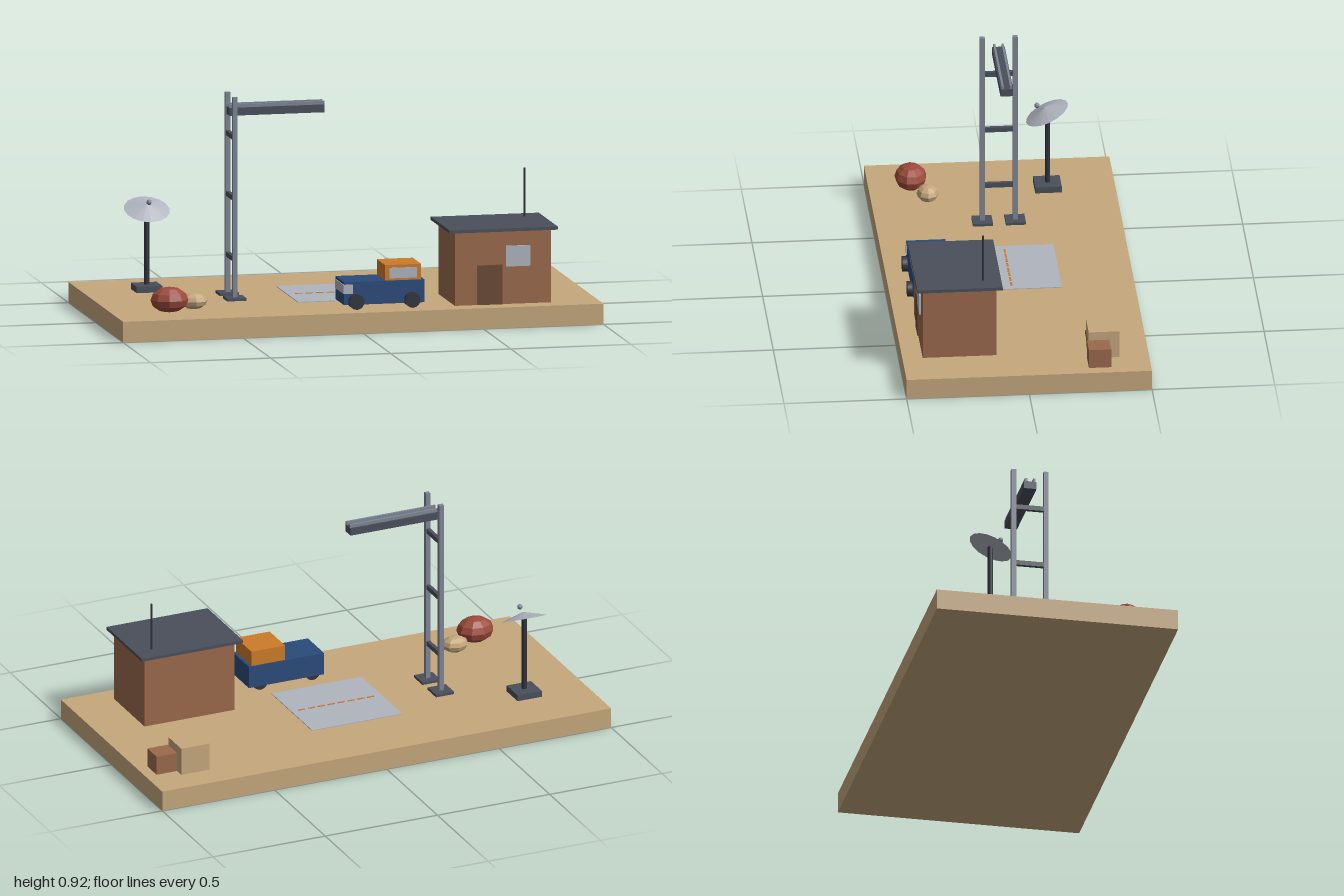
import * as THREE from 'three';

const mat = (name, color, extra = {}) => {
  const m = new THREE.MeshStandardMaterial({ color, ...extra });
  m.name = name;
  return m;
};

export function createModel() {
  const sand = mat('sand', 0xc4a77c);
  const brick = mat('brick brown', 0x9a694c);
  const slate = mat('dark slate', 0x4a4f5b);
  const pale = mat('pale grey', 0xafb4be);
  const steel = mat('steel grey', 0x7f8694);
  const blue = mat('truck blue', 0x2a4a7a);
  const orange = mat('cargo orange', 0xcc7b29);
  const red = mat('rust red', 0x9c4a3b, { flatShading: true });
  const black = mat('charcoal', 0x31343d);
  const wood = mat('dark wood', 0x684832);
  const sandFlat = sand;

  const model = new THREE.Group();
  model.name = 'outpost';
  const group = (name) => {
    const g = new THREE.Group();
    g.name = name;
    model.add(g);
    return g;
  };
  const add = (parent, name, geometry, material, x = 0, y = 0, z = 0) => {
    const m = new THREE.Mesh(geometry, material);
    m.name = name;
    m.position.set(x, y, z);
    parent.add(m);
    return m;
  };
  // Box given by its limits on each axis
  const box = (parent, name, material, [x0, x1], [y0, y1], [z0, z1]) =>
    add(parent, name, new THREE.BoxGeometry(x1 - x0, y1 - y0, z1 - z0), material,
      (x0 + x1) / 2, (y0 + y1) / 2, (z0 + z1) / 2);

  const G = 0.085; // ground level

  // Ground slab, landing pad and dashed centre line
  const ground = group('ground');
  box(ground, 'slab', sand, [-1, 1], [0, G], [-0.5, 0.5]);
  box(ground, 'pad', pale, [-0.203, 0.198], [G, G + 0.003], [-0.203, 0.198]);
  for (let i = 0; i < 8; i++) {
    const x = -0.17 + i * 0.044;
    box(ground, 'dash', orange, [x, x + 0.03], [G + 0.003, G + 0.005], [-0.004, 0.004]);
  }

  // Ladder tower with overhead rail arm
  const tower = group('tower');
  const tx = -0.437;
  for (const s of [-1, 1]) {
    const z = s * 0.067;
    box(tower, 'foot', slate, [tx - 0.04, tx + 0.04], [G, 0.096], [z - 0.041, z + 0.041]);
    box(tower, 'post', steel, [tx - 0.01, tx + 0.01], [0.096, 0.918], [z - 0.01, z + 0.01]);
    box(tower, 'rail', steel, [-0.45, -0.053], [0.867, 0.881], [s * 0.017 - 0.0045, s * 0.017 + 0.0045]);
  }
  for (const y of [0.252, 0.502, 0.752]) {
    box(tower, 'rung', slate, [tx - 0.008, tx + 0.008], [y - 0.01, y + 0.01], [-0.057, 0.057]);
  }
  box(tower, 'arm', slate, [-0.45, -0.053], [0.835, 0.867], [-0.026, 0.026]);

  // Dish antenna on a mast
  const antenna = group('dishAntenna');
  const dx = -0.737, dz = -0.225;
  box(antenna, 'dishBase', slate, [dx - 0.054, dx + 0.054], [G, 0.111], [dz - 0.054, dz + 0.054]);
  add(antenna, 'dishMast', new THREE.CylinderGeometry(0.011, 0.011, 0.309, 10), black, dx, 0.2655, dz);
  const coneShape = new THREE.ConeGeometry(0.094, 0.028, 16).toNonIndexed();
  coneShape.translate(0, 0.014, 0);
  coneShape.computeVertexNormals();
  add(antenna, 'dish', coneShape, pale, dx, 0.42, dz + 0.002).rotation.x = 0.43;
  add(antenna, 'feed', new THREE.SphereGeometry(0.011, 10, 8), steel, dx, 0.456, -0.182);

  // Boulders: squashed low-poly spheres
  const rocks = group('boulders');
  const boulder = (name, material, sides, size, pos) => {
    const g = new THREE.SphereGeometry(1, sides, 6).scale(...size).toNonIndexed();
    g.computeVertexNormals();
    add(rocks, name, g, material, ...pos);
  };
  boulder('redBoulder', red, 9, [0.079, 0.053, 0.066], [-0.769, 0.141, 0.33]);
  boulder('sandBoulder', sandFlat, 8, [0.056, 0.034, 0.045], [-0.653, 0.121, 0.271]);

  // Hut with door, window and whip aerial
  const hut = group('hut');
  box(hut, 'walls', brick, [0.4, 0.8], [G, 0.387], [0.117, 0.417]);
  box(hut, 'roof', slate, [0.373, 0.823], [0.387, 0.4], [0.093, 0.441]);
  box(hut, 'door', wood, [0.495, 0.597], [G, 0.248], [0.417, 0.421]);
  box(hut, 'window', pale, [0.612, 0.714], [0.24, 0.325], [0.417, 0.424]);
  add(hut, 'aerial', new THREE.CylinderGeometry(0.0045, 0.0045, 0.2, 8), black, 0.747, 0.5, 0.167);

  // Small truck
  const truck = group('truck');
  box(truck, 'truckBody', blue, [-0.06, 0.275], [0.104, 0.198], [0.25, 0.41]);
  box(truck, 'cabin', orange, [0.112, 0.262], [0.198, 0.262], [0.254, 0.406]);
  box(truck, 'cabinWindow', pale, [0.13, 0.244], [0.207, 0.25], [0.406, 0.41]);
  box(truck, 'windscreen', pale, [-0.063, -0.024], [0.15, 0.188], [0.259, 0.413]);
  const wheel = new THREE.CylinderGeometry(0.032, 0.032, 0.036, 14).rotateX(Math.PI / 2);
  for (const x of [-0.011, 0.222]) {
    for (const z of [0.27, 0.413]) add(truck, 'wheel', wheel, black, x, 0.118, z);
  }

  // Crates
  const crates = group('crates');
  box(crates, 'largeCrate', sand, [0.735, 0.861], [G, 0.201], [-0.38, -0.254]);
  box(crates, 'strap', wood, [0.731, 0.865], [0.139, 0.149], [-0.254, -0.25]);
  box(crates, 'smallCrate', brick, [0.861, 0.952], [G, 0.165], [-0.338, -0.247]);

  return model;
}
